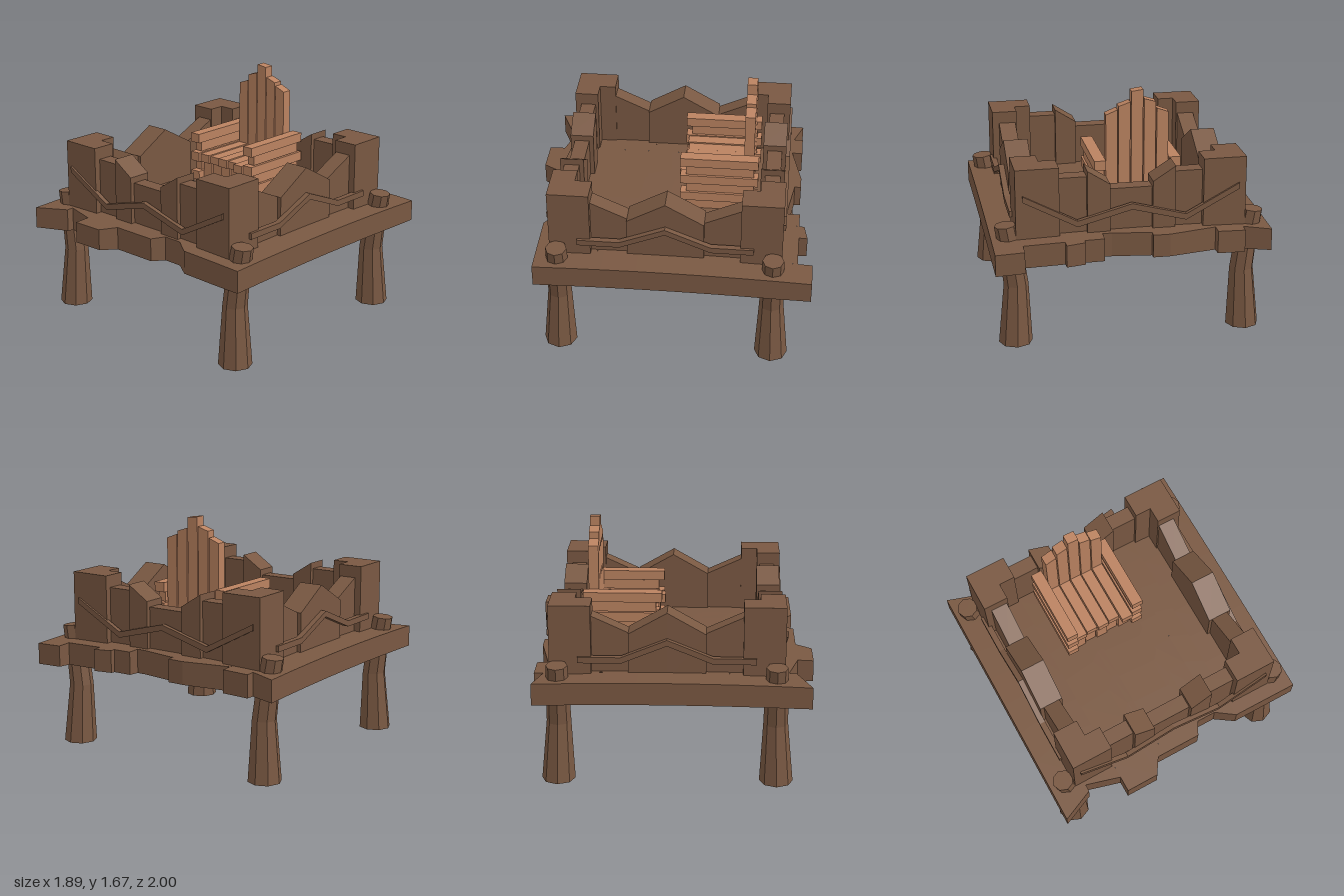
import * as THREE from 'three';

const wood = new THREE.MeshStandardMaterial({ color: 0x795842 });
wood.flatShading = true;
const paleWood = new THREE.MeshStandardMaterial({ color: 0xba8260 });
paleWood.flatShading = true;

function add(parent, name, geometry, material = wood) {
  const mesh = new THREE.Mesh(geometry, material);
  mesh.name = name;
  parent.add(mesh);
  return mesh;
}

// Extrude an outline in the xy plane, from z0 to z1
function prism(points, z0, z1) {
  const shape = new THREE.Shape(points.map(([x, y]) => new THREE.Vector2(x, y)));
  return new THREE.ExtrudeGeometry(shape, { depth: z1 - z0, bevelEnabled: false }).translate(0, 0, z0);
}

// Block with a sloping top: height ya at xa, yb at xb
const slopedBlock = (xa, ya, xb, yb, base, z0, z1) =>
  prism([[xa, base], [xb, base], [xb, yb], [xa, ya]], z0, z1);

function box(x0, x1, y0, y1, z0, z1) {
  return new THREE.BoxGeometry(x1 - x0, y1 - y0, z1 - z0)
    .translate((x0 + x1) / 2, (y0 + y1) / 2, (z0 + z1) / 2);
}

// Ragged front and back edges of the slab, as [x, z]
const frontEdge = [[-0.945, 0.97], [-0.715, 0.87], [-0.715, 0.82], [-0.475, 0.89], [-0.475, 1], [-0.24, 1],
  [-0.17, 0.89], [0.155, 0.89], [0.205, 0.8], [0.34, 0.8], [0.47, 0.89], [0.945, 0.89]];
const backEdge = [[-0.945, -0.9], [-0.76, -0.835], [-0.76, -0.9], [-0.57, -0.9], [-0.57, -0.825], [-0.24, -0.9],
  [-0.125, -0.9], [-0.125, -0.855], [0.14, -0.815], [0.205, -0.815], [0.205, -0.9], [0.34, -0.9], [0.34, -0.935],
  [0.47, -0.96], [0.47, -0.9], [0.75, -0.9], [0.75, -1], [0.945, -1]];

// Edge position at x, approached from the left or from the right
function edgeAt(edge, x, fromLeft) {
  for (let i = 0; i < edge.length - 1; i++) {
    const [xa, za] = edge[i], [xb, zb] = edge[i + 1];
    if (fromLeft ? xa < x && x <= xb : xa <= x && x < xb) return za + (zb - za) * (x - xa) / (xb - xa);
  }
  return null;
}

// Slab with gently bulging top and underside
function slabGeometry() {
  const xs = [...new Set([...frontEdge, ...backEdge].map(p => p[0]))].sort((a, b) => a - b);
  const columns = [];
  for (const x of xs) {
    for (const fromLeft of [true, false]) {
      const f = edgeAt(frontEdge, x, fromLeft), b = edgeAt(backEdge, x, fromLeft);
      if (f !== null) columns.push({ x, f, b });
    }
  }
  const rows = 8, pos = [];
  const at = (i, j, top) => {
    const { x, f, b } = columns[i];
    const z = b + (f - b) * j / rows;
    const y = top ? 0.78 - 0.02 * (x * x + z * z)
      : 0.573 + 0.038 * Math.max(x * x, z * z) - 0.02 * x * x * z * z;
    return [x, y, z];
  };
  const quad = (a, b, c, d) => pos.push(...a, ...b, ...c, ...a, ...c, ...d);
  const last = columns.length - 1;
  for (let i = 0; i < last; i++) {
    quad(at(i, rows, 0), at(i + 1, rows, 0), at(i + 1, rows, 1), at(i, rows, 1));
    quad(at(i, 0, 1), at(i + 1, 0, 1), at(i + 1, 0, 0), at(i, 0, 0));
    if (columns[i].x === columns[i + 1].x) continue;
    for (let j = 0; j < rows; j++) {
      quad(at(i, j, 1), at(i, j + 1, 1), at(i + 1, j + 1, 1), at(i + 1, j, 1));
      quad(at(i + 1, j, 0), at(i + 1, j + 1, 0), at(i, j + 1, 0), at(i, j, 0));
    }
  }
  for (let j = 0; j < rows; j++) {
    quad(at(0, j, 0), at(0, j + 1, 0), at(0, j + 1, 1), at(0, j, 1));
    quad(at(last, j, 1), at(last, j + 1, 1), at(last, j + 1, 0), at(last, j, 0));
  }
  const g = new THREE.BufferGeometry();
  g.setAttribute('position', new THREE.Float32BufferAttribute(pos, 3));
  g.computeVertexNormals();
  return g;
}

// Bent eight-sided leg that pokes through the slab; rings are [y, x, z, radius]
function legGeometry(sx, sz) {
  const rings = [[0, 0.795, 0.745, 0.115], [0.42, 0.783, 0.735, 0.084], [0.6, 0.805, 0.735, 0.08], [0.845, 0.848, 0.735, 0.073]];
  const g = new THREE.CylinderGeometry(1, 1, 3, 8, 3);
  const p = g.attributes.position;
  for (let i = 0; i < p.count; i++) {
    const k = Math.round(p.getY(i) + 1.5);
    const [y, x, z, r] = rings[k];
    const dx = p.getX(i);
    const tilt = k === 3 ? -0.008 * dx * sx : 0;
    p.setXYZ(i, sx * x + dx * r, y + tilt, sz * z + p.getZ(i) * r);
  }
  g.computeVertexNormals();
  return g;
}

// Zigzag strip of constant height along a line of [x, y]
function railGeometry(line, z0, z1) {
  const h = 0.021;
  return prism([...line.map(([x, y]) => [x, y - h]), ...line.map(([x, y]) => [x, y + h]).reverse()], z0, z1);
}

export function createModel() {
  const model = new THREE.Group();
  add(model, 'platform', slabGeometry());

  // Legs and L-shaped corner towers
  for (const sx of [-1, 1]) {
    for (const sz of [-1, 1]) {
      add(model, 'leg', legGeometry(sx, sz));
      const plan = [[0.783, 0.793], [0.49, 0.793], [0.49, 0.625], [0.605, 0.625], [0.605, 0.51], [0.783, 0.51]];
      add(model, 'cornerTower', prism(plan.map(([x, z]) => [sx * x, -sz * z]), 0.72, 1.24).rotateX(-Math.PI / 2));
    }
  }

  // Walls: each built facing +z, then turned to its side
  for (let k = 0; k < 4; k++) {
    const wall = new THREE.Group();
    wall.name = ['frontWall', 'leftWall', 'backWall', 'rightWall'][k];
    wall.rotation.y = k * Math.PI / 2;
    model.add(wall);
    if (k % 2 === 0) {
      add(wall, 'wallMiddle', box(-0.145, 0.145, 0.72, 1.057, 0.645, 0.75));
      for (const s of [-1, 1]) {
        add(wall, 'wallBlock', slopedBlock(s * 0.145, 1.1, s * 0.3, 1.2, 0.72, 0.615, 0.78));
        add(wall, 'wallPanel', slopedBlock(s * 0.3, 1.153, s * 0.5, 1.153, 0.72, 0.645, 0.75));
      }
      add(wall, 'rail', railGeometry([[-0.735, 1.04], [-0.37, 0.843], [0, 0.942], [0.37, 0.843], [0.735, 1.04]], 0.775, 0.808));
    } else {
      for (const s of [-1, 1]) {
        add(wall, 'wallBlock', slopedBlock(0, 1.19, s * 0.262, 1.04, 0.72, 0.592, 0.763));
        add(wall, 'wallPanel', slopedBlock(s * 0.25, 1.035, s * 0.515, 1.157, 0.72, 0.615, 0.735));
      }
      add(wall, 'rail', railGeometry([[-0.6, 0.865], [-0.31, 0.865], [0, 0.992], [0.31, 0.865], [0.6, 0.865]], 0.76, 0.802));
    }
  }

  // Plank chair, facing the front
  const chair = new THREE.Group();
  chair.name = 'chair';
  model.add(chair);
  const tops = [[1.51, 1.54], [1.585, 1.61], [1.675, 1.665], [1.592, 1.565], [1.542, 1.51]];
  const seatFronts = [-0.07, -0.08, -0.07, -0.08, -0.04];
  tops.forEach(([ya, yb], i) => {
    const x0 = -0.295 + i * 0.0875, x1 = x0 + 0.08;
    add(chair, 'backPlank', slopedBlock(x0, ya, x1, yb, 0.76, -0.56, -0.49), paleWood);
    add(chair, 'seatPlank', box(x0, x1, 0.99, 1.05 - 0.005 * (i % 2), -0.5, seatFronts[i]), paleWood);
    add(chair, 'frontPlank', box(x0, x1, 0.76, 0.985, -0.16, -0.1 - 0.012 * (i % 2)), paleWood);
  });
  // Arms: horizontal planks stacked with uneven ends
  for (const x0 of [-0.375, 0.14]) {
    for (let n = 0; n < 6; n++) {
      const y1 = 1.2 - n * 0.071, odd = n % 2;
      const inset = odd * 0.012;
      add(chair, n ? 'sidePlank' : 'armrest',
        box(x0 + inset, x0 + 0.08 - inset, y1 - 0.067, y1, -0.595 + odd * 0.03, -0.05 - odd * 0.04), paleWood);
    }
  }
  return model;
}
